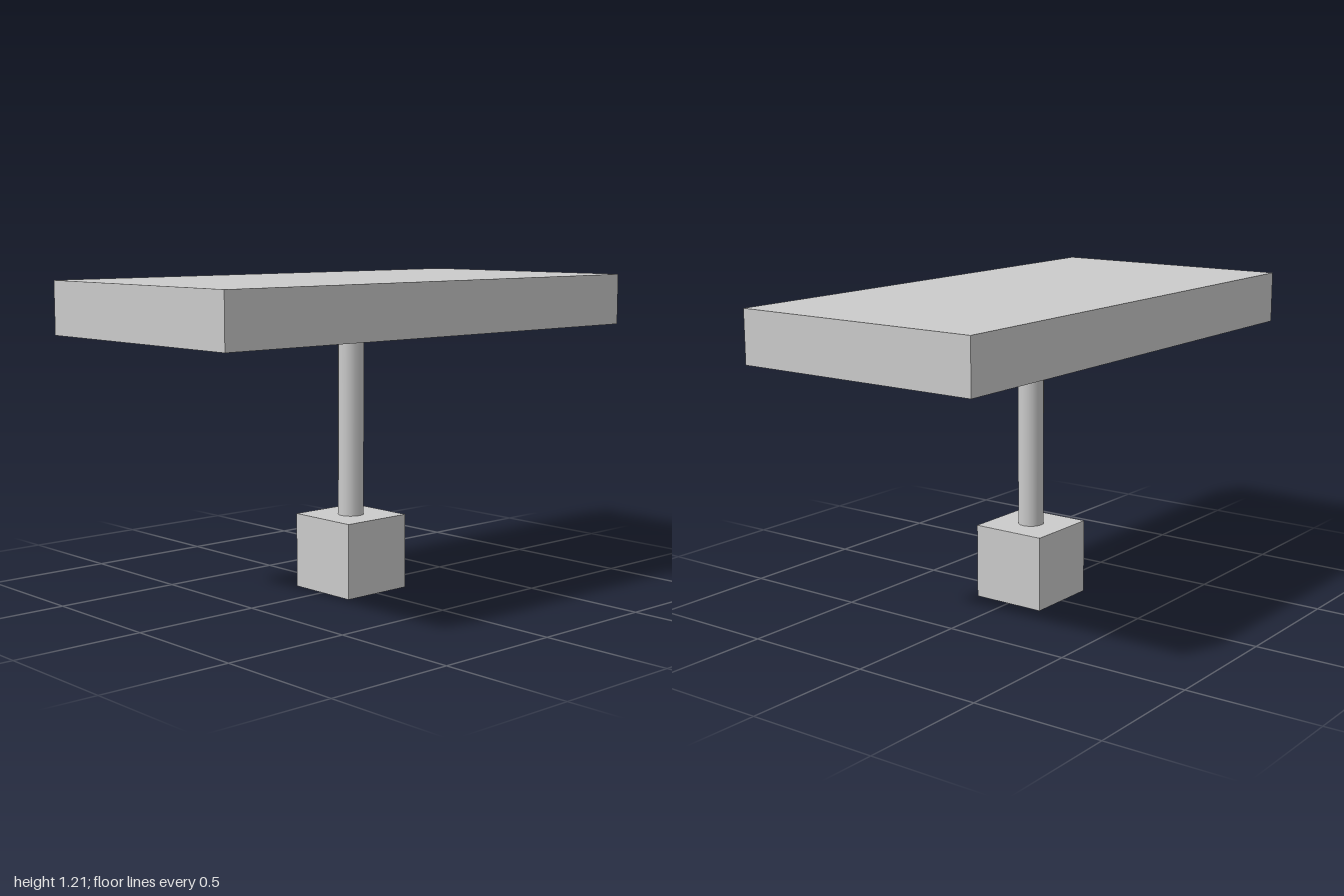
import * as THREE from 'three';

const BASE_TOP = 0.29;
const SLAB_BOTTOM = 1.01;
const SLAB_TOP = 1.21;

export function createModel() {
  const group = new THREE.Group();
  const material = new THREE.MeshStandardMaterial({ color: 0xcccccc });

  // Places a part so that it spans from y = bottom to y = top
  function addPart(name, geometry, bottom, top) {
    const mesh = new THREE.Mesh(geometry, material);
    mesh.name = name;
    mesh.position.y = (bottom + top) / 2;
    group.add(mesh);
  }

  // Square foot block
  addPart('base', new THREE.BoxGeometry(0.3, BASE_TOP, 0.3), 0, BASE_TOP);

  // Round post between base and top
  addPart('post', new THREE.CylinderGeometry(0.05, 0.05, SLAB_BOTTOM - BASE_TOP, 16), BASE_TOP, SLAB_BOTTOM);

  // Thick rectangular slab
  addPart('tableTop', new THREE.BoxGeometry(2, SLAB_TOP - SLAB_BOTTOM, 1), SLAB_BOTTOM, SLAB_TOP);

  return group;
}
